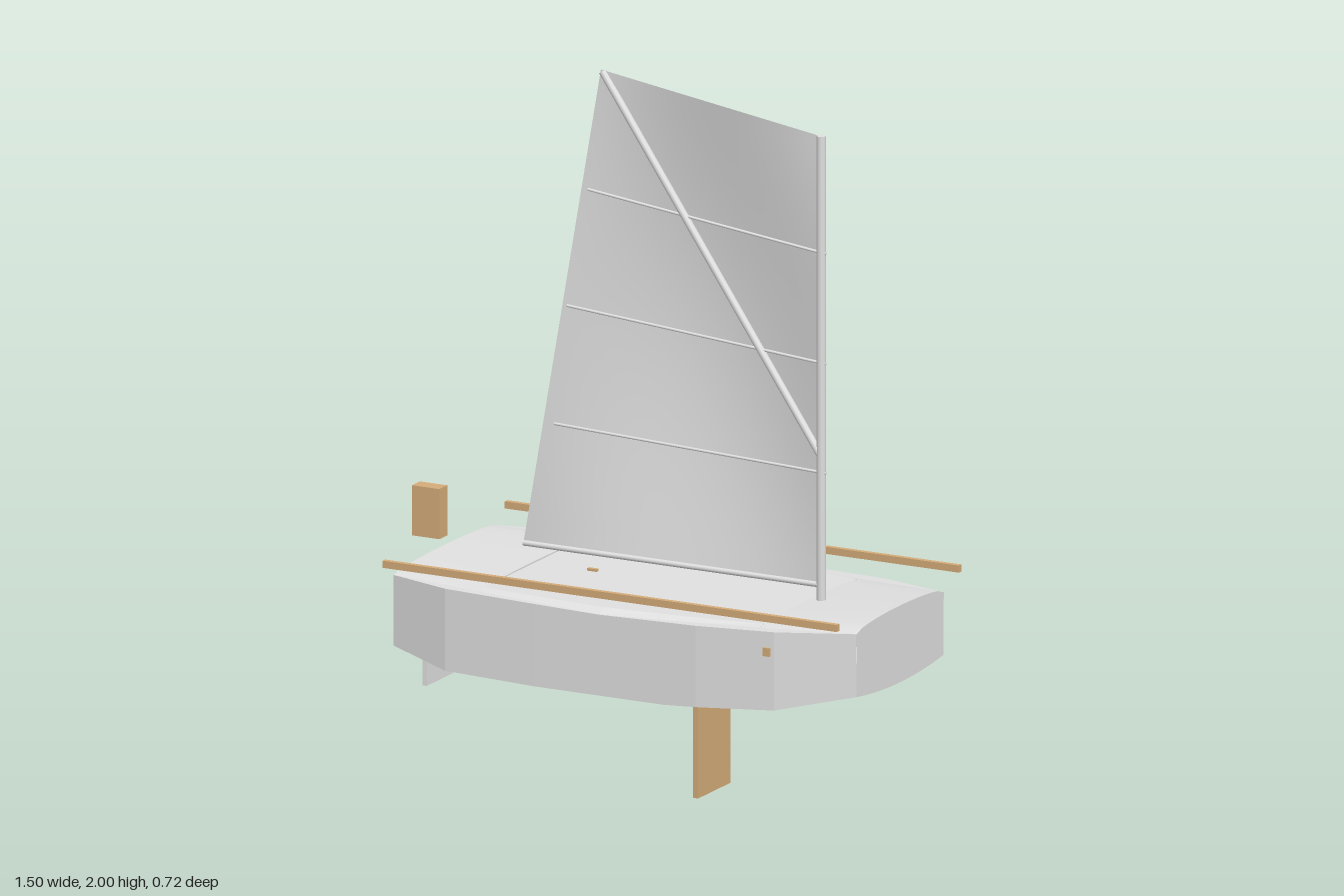
import * as THREE from 'three';

const hullMat = new THREE.MeshStandardMaterial({ color: 0xe0e0e0, side: THREE.DoubleSide });
hullMat.name = 'pale grey';
const woodMat = new THREE.MeshStandardMaterial({ color: 0xd4ac78 });
woodMat.name = 'wood';

// Linear interpolation in a list of [x, value] pairs
function table(pairs) {
  return (x) => {
    for (let i = 1; i < pairs.length; i++) {
      const [x0, a] = pairs[i - 1], [x1, b] = pairs[i];
      if (x <= x1 + 1e-6) return a + (b - a) * (x - x0) / (x1 - x0);
    }
    return pairs[pairs.length - 1][1];
  };
}

// Surface through rows of [x, y, z] points
function skin(name, rows, flat, mat = hullMat) {
  const n = rows[0].length, index = [];
  for (let i = 0; i < rows.length - 1; i++) {
    for (let j = 0; j < n - 1; j++) {
      const a = i * n + j, b = a + n;
      index.push(a, a + 1, b, b, a + 1, b + 1);
    }
  }
  let g = new THREE.BufferGeometry();
  g.setAttribute('position', new THREE.Float32BufferAttribute(rows.flat(2), 3));
  g.setIndex(index);
  if (flat) g = g.toNonIndexed();
  g.computeVertexNormals();
  const mesh = new THREE.Mesh(g, mat);
  mesh.name = name;
  return mesh;
}

// Box given by its extents
function box(name, mat, x0, x1, y0, y1, z0, z1) {
  const mesh = new THREE.Mesh(new THREE.BoxGeometry(x1 - x0, y1 - y0, z1 - z0), mat);
  mesh.position.set((x0 + x1) / 2, (y0 + y1) / 2, (z0 + z1) / 2);
  mesh.name = name;
  return mesh;
}

// Round bar between two points in the plane z
function spar(name, x0, y0, x1, y1, r, z = 0) {
  const a = new THREE.Vector3(x0, y0, z), b = new THREE.Vector3(x1, y1, z);
  const mesh = new THREE.Mesh(new THREE.CylinderGeometry(r, r, a.distanceTo(b), 10), hullMat);
  mesh.position.copy(a).lerp(b, 0.5);
  mesh.quaternion.setFromUnitVectors(new THREE.Vector3(0, 1, 0), b.sub(a).normalize());
  mesh.name = name;
  return mesh;
}

// Hull lines along x
const STERN = -0.665, BOW = 0.75, AFT = -0.385, FORE = 0.47;
const xs = [STERN, -0.48, AFT, -0.2, 0, 0.2, 0.3, FORE, 0.53, BOW];
const width = table([[STERN, 0.297], [-0.48, 0.343], [-0.2, 0.347], [0.3, 0.345], [0.53, 0.32], [BOW, 0.25]]);
const deckWidth = table([[STERN, 0.295], [AFT, 0.315], [-0.2, 0.33], [0, 0.342], [0.2, 0.325], [FORE, 0.288], [BOW, 0.249]]);
const wallTop = table([[STERN, 0.575], [0, 0.56], [0.53, 0.572], [BOW, 0.578]]);
const wallFoot = table([[STERN, 0.375], [-0.48, 0.338], [-0.2, 0.331], [0.2, 0.33], [0.53, 0.35], [BOW, 0.4]]);
const flange = table([[STERN, 0], [-0.48, 0.045], [0.3, 0.05], [0.53, 0.035], [BOW, 0]]);
const bottomEdge = table([[STERN, 0.375], [-0.48, 0.372], [0.3, 0.372], [0.53, 0.378], [BOW, 0.4]]);
const keel = table([[STERN, 0.342], [0, 0.336], [0.3, 0.34], [0.53, 0.352], [BOW, 0.382]]);
const endCrown = table([[STERN, 0.59], [AFT, 0.58], [FORE, 0.582], [BOW, 0.6]]);

const across = Array.from({ length: 17 }, (_, i) => -1 + i / 8);
const deckRow = (x) => across.map((t) => {
  const edge = wallTop(x);
  return [x, edge + (endCrown(x) - edge) * Math.sqrt(Math.max(0, 1 - t * t)), t * deckWidth(x)];
});
const bottomRow = (x) => across.map((t) =>
  [x, keel(x) + (bottomEdge(x) - keel(x)) * t * t, t * (width(x) - flange(x))]);

function buildHull() {
  const hull = new THREE.Group();
  hull.name = 'hull';
  // Side walls with rim and lower flange
  for (const s of [1, -1]) {
    const rows = xs.map((x) => {
      const w = width(x), f = w - flange(x);
      return [
        [x, wallTop(x), s * deckWidth(x)], [x, wallTop(x), s * w],
        [x, wallFoot(x), s * w], [x, wallFoot(x), s * f], [x, bottomEdge(x), s * f],
      ];
    });
    if (s < 0) rows.forEach((r) => r.reverse());
    hull.add(skin(s > 0 ? 'frontWall' : 'backWall', rows, true));
  }
  // Bottom, crowned end decks and the flatter middle deck
  hull.add(skin('bottom', xs.map((x) => bottomRow(x).reverse()), false));
  hull.add(skin('aftDeck', xs.filter((x) => x <= AFT).map(deckRow), false));
  hull.add(skin('foreDeck', xs.filter((x) => x >= FORE).map(deckRow), false));
  const middle = xs.filter((x) => x >= AFT && x <= FORE).map((x) => [-1, -0.93, 0.93, 1].map((t) =>
    [x, Math.abs(t) === 1 ? wallTop(x) : 0.575, t * deckWidth(x)]));
  hull.add(skin('middleDeck', middle, true));
  // Transoms
  hull.add(skin('sternTransom', [bottomRow(STERN), deckRow(STERN)], true));
  hull.add(skin('bowTransom', [deckRow(BOW), bottomRow(BOW)], true));
  return hull;
}

function buildRig() {
  const rig = new THREE.Group();
  rig.name = 'rig';
  // Sail bellying towards the back
  const N = 24, rows = [];
  for (let i = 0; i <= N; i++) {
    const v = i / N, row = [];
    for (let j = 0; j <= N; j++) {
      const u = j / N;
      const left = -0.42 + 0.24 * v;
      const top = 2.0 - 0.1 * u;
      row.push([left + (0.497 - left) * u, 0.632 + (top - 0.632) * v,
        -0.08 * Math.sin(Math.PI * u) * Math.sin(Math.PI * v)]);
    }
    rows.push(row.reverse());
  }
  rig.add(skin('sail', rows, false));
  // Mast, boom, sprit and battens
  rig.add(spar('mast', 0.505, 0.58, 0.505, 1.9, 0.013));
  rig.add(spar('boom', -0.42, 0.627, 0.505, 0.627, 0.008));
  rig.add(spar('sprit', -0.175, 1.995, 0.505, 0.99, 0.011));
  [[-0.22, 1.655, 1.567], [-0.285, 1.317, 1.255], [-0.325, 0.977, 0.945]].forEach(([x, y0, y1], i) =>
    rig.add(spar('batten' + (i + 1), x, y0, 0.52, y1, 0.004)));
  return rig;
}

export function createModel() {
  const boat = new THREE.Group();
  boat.name = 'sailboat';
  boat.add(buildHull(), buildRig());
  // Rails and side pegs
  for (const s of [1, -1]) {
    const rail = box('rail', woodMat, -0.665, 0.747, 0.61, 0.63, -0.0075, 0.0075);
    rail.position.z = s * 0.352;
    const z = s * (width(0.51) + 0.001);
    boat.add(rail, box('peg', woodMat, 0.5, 0.52, 0.503, 0.527, z - 0.006, z + 0.006));
  }
  // Rudder, its bracket, tiller block, daggerboard and deck cleat
  boat.add(box('rudder', hullMat, -0.694, -0.681, 0.205, 0.55, -0.075, 0.075));
  boat.add(box('rudderBracket', hullMat, -0.69, -0.66, 0.54, 0.555, -0.012, 0.012));
  boat.add(box('tillerBlock', woodMat, -0.755, -0.67, 0.61, 0.752, -0.023, 0.023));
  boat.add(box('daggerboard', woodMat, 0.157, 0.172, 0, 0.36, -0.093, 0.093));
  boat.add(box('deckCleat', woodMat, -0.22, -0.19, 0.565, 0.582, -0.006, 0.006));
  return boat;
}
